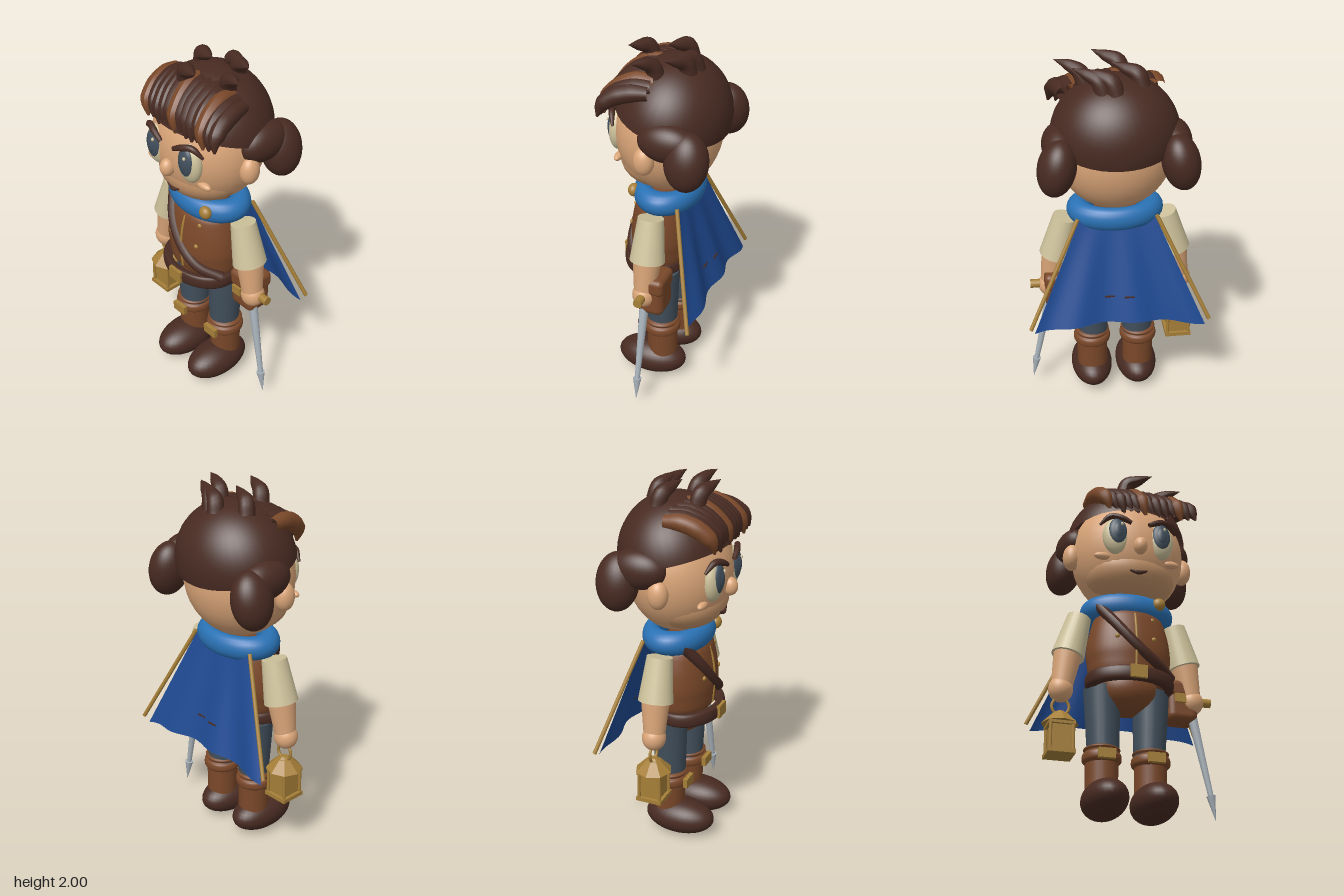
import * as THREE from 'three';
import { RoundedBoxGeometry } from 'three/addons/geometries/RoundedBoxGeometry.js';

const mat = (name, color, side = THREE.FrontSide) => {
  const m = new THREE.MeshStandardMaterial({ color, side });
  m.name = name;
  return m;
};
const V = (p) => new THREE.Vector3(...p);

export function createModel() {
  const model = new THREE.Group();
  model.name = 'adventurer';
  const skin = mat('skin', 0xdba679);
  const stubble = mat('stubble', 0xc5946a);
  const dark = mat('darkBrown', 0x482b22, THREE.DoubleSide);
  const leather = mat('leather', 0x7a4829);
  const gold = mat('brass', 0xa67f38);
  const cream = mat('linen', 0xcfc39c);
  const blue = mat('scarfBlue', 0x2a72b5);
  const navy = mat('capeBlue', 0x1f4a92, THREE.DoubleSide);
  const slate = mat('slate', 0x414f5c);
  const steel = mat('steel', 0xaab4bc);

  const add = (name, geo, material, pos = [0, 0, 0]) => {
    const m = new THREE.Mesh(geo, material);
    m.name = name;
    m.position.set(...pos);
    model.add(m);
    return m;
  };
  const ball = (name, material, pos, r) =>
    add(name, new THREE.SphereGeometry(1, 32, 20).scale(...r), material, pos);
  // Tapered cylinder between two points
  const limb = (name, material, a, b, ra, rb, sides = 24) => {
    const d = V(b).sub(V(a));
    const m = add(name, new THREE.CylinderGeometry(rb, ra, d.length(), sides), material);
    m.position.copy(V(a)).addScaledVector(d, 0.5);
    m.quaternion.setFromUnitVectors(new THREE.Vector3(0, 1, 0), d.normalize());
    return m;
  };
  // Tube along a path whose radius follows a short list
  const lock = (name, material, points, radii, n = 16, sides = 12) => {
    const curve = new THREE.CatmullRomCurve3(points.map(V));
    const geo = new THREE.TubeGeometry(curve, n, 1, sides);
    const p = geo.attributes.position;
    const v = new THREE.Vector3();
    for (let i = 0; i < p.count; i++) {
      const t = Math.floor(i / (sides + 1)) / n;
      const k = Math.min(t * (radii.length - 1), radii.length - 1.001);
      const r = THREE.MathUtils.lerp(radii[Math.floor(k)], radii[Math.floor(k) + 1], k % 1);
      const c = curve.getPointAt(t);
      v.fromBufferAttribute(p, i).sub(c).multiplyScalar(r).add(c);
      p.setXYZ(i, v.x, v.y, v.z);
    }
    geo.computeVertexNormals();
    return add(name, geo, material);
  };

  // Head and face
  ball('head', skin, [0, 1.53, 0], [0.315, 0.335, 0.28]);
  ball('jaw', stubble, [0, 1.375, 0.04], [0.255, 0.16, 0.216]);
  ball('nose', skin, [0, 1.465, 0.28], [0.038, 0.05, 0.042]);
  lock('mouth', dark, [[-0.047, 1.33, 0.24], [0, 1.318, 0.247], [0.047, 1.335, 0.24]], [0.006, 0.012, 0.006]);
  for (const s of [-1, 1]) {
    ball('ear', skin, [s * 0.32, 1.485, 0.015], [0.05, 0.077, 0.055]);
    ball('eyeWhite', cream, [s * 0.12, 1.53, 0.232], [0.079, 0.114, 0.05]);
    ball('iris', slate, [s * 0.122, 1.543, 0.26], [0.053, 0.084, 0.03]);
    ball('pupil', slate, [s * 0.122, 1.543, 0.276], [0.03, 0.052, 0.018]);
    ball('eyeHighlight', cream, [s * 0.12 + 0.016, 1.582, 0.287], [0.008, 0.01, 0.008]);
    ball('cheek', skin, [s * 0.19, 1.413, 0.205], [0.05, 0.021, 0.022]);
    lock('eyebrow', dark, [[s * 0.215, 1.592, 0.228], [s * 0.16, 1.638, 0.255], [s * 0.1, 1.625, 0.275],
      [s * 0.05, 1.6, 0.281]], [0.007, 0.017, 0.018, 0.012]);
  }

  // Hair cap, low at the nape, and side buns
  const cap = add('hairCap', new THREE.SphereGeometry(1, 40, 20, 0, Math.PI * 2, 0, Math.PI / 2)
    .scale(0.337, 0.32, 0.302), dark, [0, 1.615, -0.022]);
  cap.rotation.x = -0.25;
  for (const s of [-1, 1]) {
    ball('hairBun', dark, [s * 0.315, 1.525, -0.21], [0.1, 0.155, 0.115]).rotation.z = s * 0.2;
    ball('hairBunUpper', dark, [s * 0.295, 1.6, -0.1], [0.09, 0.105, 0.155]);
  }

  // Fringe swept forward as a visor of overlapping locks, three of them lighter
  for (let i = 0; i < 13; i++) {
    const x = -0.23 + i * 0.041;
    const fall = x * x;
    const light = i === 0 || i === 5 || i === 10;
    const lift = light ? 0.008 : 0;
    lock(light ? 'lightFringeLock' : 'fringeLock', light ? leather : dark, [
      [x, 1.885 - fall * 0.8, 0.01], [x + 0.012, 1.872 - fall * 0.7 + lift, 0.1],
      [x + 0.03, 1.815 - fall * 0.3 + lift, 0.19], [x + 0.048, 1.75, 0.24 + lift],
      [x + 0.065, 1.685 + 0.012 * Math.sin(i * 2.3), 0.258]], [0.034, 0.046, 0.048, 0.042, 0.006], 20);
  }
  // Tufts on the crown curling sideways
  for (const [x, z] of [[0.03, -0.14], [0.09, -0.12], [-0.11, -0.06], [-0.03, 0.12], [0.17, 0.02]]) {
    const y = 1.915 - 0.9 * (x * x + z * z);
    lock('crownTuft', dark, [[x - 0.02, y - 0.02, z - 0.01], [x, y + 0.045, z + 0.005],
      [x + 0.06, Math.min(y + 0.08, 1.97), z + 0.03], [x + 0.13, Math.min(y + 0.1, 1.993), z + 0.06]],
    [0.045, 0.043, 0.028, 0.001]);
  }

  // Vest, hips and belt
  const profile = (pts) => new THREE.LatheGeometry(
    new THREE.SplineCurve(pts.map((p) => new THREE.Vector2(...p))).getPoints(24), 40);
  add('vest', profile([[0.001, 0.73], [0.19, 0.75], [0.225, 0.85], [0.23, 0.93], [0.21, 1.05], [0.165, 1.14],
    [0.001, 1.18]]).scale(1, 1, 0.74), leather, [0, 0, 0.03]);
  ball('hips', leather, [0, 0.71, 0.01], [0.17, 0.13, 0.14]);
  add('belt', profile([[0.19, 0.705], [0.23, 0.705], [0.241, 0.74], [0.23, 0.777], [0.19, 0.777]])
    .scale(1, 1, 0.78), dark, [0, 0, 0.055]);
  add('beltBuckle', new THREE.BoxGeometry(0.09, 0.07, 0.02), gold, [0, 0.742, 0.242]);
  lock('vestTrim', gold, [[0, 0.78, 0.19], [0, 0.93, 0.2], [0, 1.04, 0.188], [0, 1.11, 0.167]], [0.007, 0.007]);
  for (const [x, y, z] of [[0.1, 1.085, 0.155], [0.1, 0.96, 0.182], [-0.1, 0.96, 0.182]])
    ball('vestButton', gold, [x, y, z], [0.013, 0.013, 0.01]);
  lock('shoulderStrap', dark, [[-0.18, 1.165, 0.09], [-0.1, 1.035, 0.165], [0, 0.915, 0.193], [0.11, 0.83, 0.178],
    [0.215, 0.775, 0.1]], [0.03, 0.03]);

  // Hip bag
  add('hipBag', new RoundedBoxGeometry(0.17, 0.235, 0.15, 4, 0.04), leather, [0.305, 0.695, -0.03]);
  add('bagFlap', new RoundedBoxGeometry(0.18, 0.1, 0.16, 4, 0.03), leather, [0.305, 0.76, -0.03]);
  add('bagClasp', new THREE.BoxGeometry(0.06, 0.05, 0.015), gold, [0.285, 0.7, 0.053]);

  // Scarf and brooch
  add('scarf', new THREE.TorusGeometry(0.195, 0.065, 20, 48).rotateX(Math.PI / 2).scale(1, 1, 0.71), blue, [0, 1.172, -0.005]);
  ball('brooch', gold, [0.14, 1.19, 0.15], [0.036, 0.036, 0.03]);

  // Arms, legs and boots
  const cuff = profile([[0.08, 0.3], [0.1, 0.315], [0.104, 0.335], [0.1, 0.355], [0.088, 0.365], [0.097, 0.382], [0.075, 0.395]]);
  for (const s of [-1, 1]) {
    limb('sleeve', cream, [s * 0.325, 0.892, 0], [s * 0.268, 1.125, 0], 0.09, 0.066).scale.z = 1.05;
    limb('forearm', skin, [s * 0.357, 0.7, 0.005], [s * 0.325, 0.91, 0], 0.056, 0.077);
    ball('hand', skin, [s * 0.36, 0.695, 0.005], [0.066, 0.07, 0.064]);

    limb('trouserLeg', slate, [s * 0.124, 0.33, -0.005], [s * 0.135, 0.72, -0.005], 0.082, 0.1);
    limb('bootShaft', leather, [s * 0.13, 0.12, -0.01], [s * 0.132, 0.385, -0.005], 0.084, 0.088);
    add('bootCuff', cuff, leather, [s * 0.132, 0, -0.005]);
    add('bootBuckle', new THREE.BoxGeometry(0.09, 0.052, 0.025), gold, [s * 0.132, 0.332, 0.105]);
    ball('shoe', dark, [s * 0.13, 0.1, 0.055], [0.117, 0.1, 0.2]);
  }

  // Cape with soft folds, side poles and two slits
  const capePoint = (u, v) => [u * (0.2 + 0.265 * v), 1.17 - 0.57 * v - 0.045 * v * u * u,
    -0.12 - 0.155 * v + 0.015 * v * Math.sin(u * 9)];
  const cape = new THREE.PlaneGeometry(2, 1, 48, 16);
  const cp = cape.attributes.position;
  for (let i = 0; i < cp.count; i++) cp.setXYZ(i, ...capePoint(cp.getX(i), 0.5 - cp.getY(i)));
  cape.computeVertexNormals();
  add('cape', cape, navy);
  for (const s of [-1, 1]) {
    limb('capePole', gold, [s * 0.485, 0.595, -0.288], [s * 0.21, 1.17, -0.122], 0.011, 0.011, 12);
    const [x, y, z] = capePoint(s * 0.13, 0.75);
    add('capeSlit', new THREE.BoxGeometry(0.055, 0.006, 0.008), dark, [x, y, z - 0.003]);
  }

  // Sword held point down
  limb('swordGrip', gold, [0.33, 0.705, 0], [0.47, 0.705, 0], 0.024, 0.024);
  limb('swordBlade', steel, [0.455, 0.17, 0.015], [0.362, 0.63, 0.004], 0.014, 0.026, 12);
  limb('swordTip', steel, [0.475, 0.05, 0.015], [0.453, 0.18, 0.015], 0.001, 0.024, 12);

  // Square lantern with an eight-sided roof
  const [lx, lz] = [-0.358, 0];
  const facet = (name, sides, y, h, bottom, top) => {
    const geo = new THREE.CylinderGeometry(top, bottom, h, sides).toNonIndexed();
    geo.computeVertexNormals();
    add(name, geo, gold, [lx, y, lz]);
  };
  add('lanternBase', new THREE.BoxGeometry(0.145, 0.022, 0.145), gold, [lx, 0.34, lz]);
  add('lanternPane', new THREE.BoxGeometry(0.108, 0.16, 0.108), gold, [lx, 0.42, lz]);
  add('lanternTop', new THREE.BoxGeometry(0.14, 0.015, 0.14), gold, [lx, 0.493, lz]);
  facet('lanternRoof', 8, 0.531, 0.06, 0.1, 0.04);
  facet('lanternCap', 8, 0.566, 0.014, 0.036, 0.02);
  for (const sx of [-1, 1]) for (const sz of [-1, 1]) {
    const [x, z] = [lx + sx * 0.06, lz + sz * 0.06];
    limb('lanternPost', gold, [x, 0.34, z], [x, 0.5, z], 0.009, 0.009, 8);
  }
  add('lanternHandle', new THREE.TorusGeometry(0.046, 0.008, 8, 32), gold, [lx, 0.6, lz]);

  return model;
}
